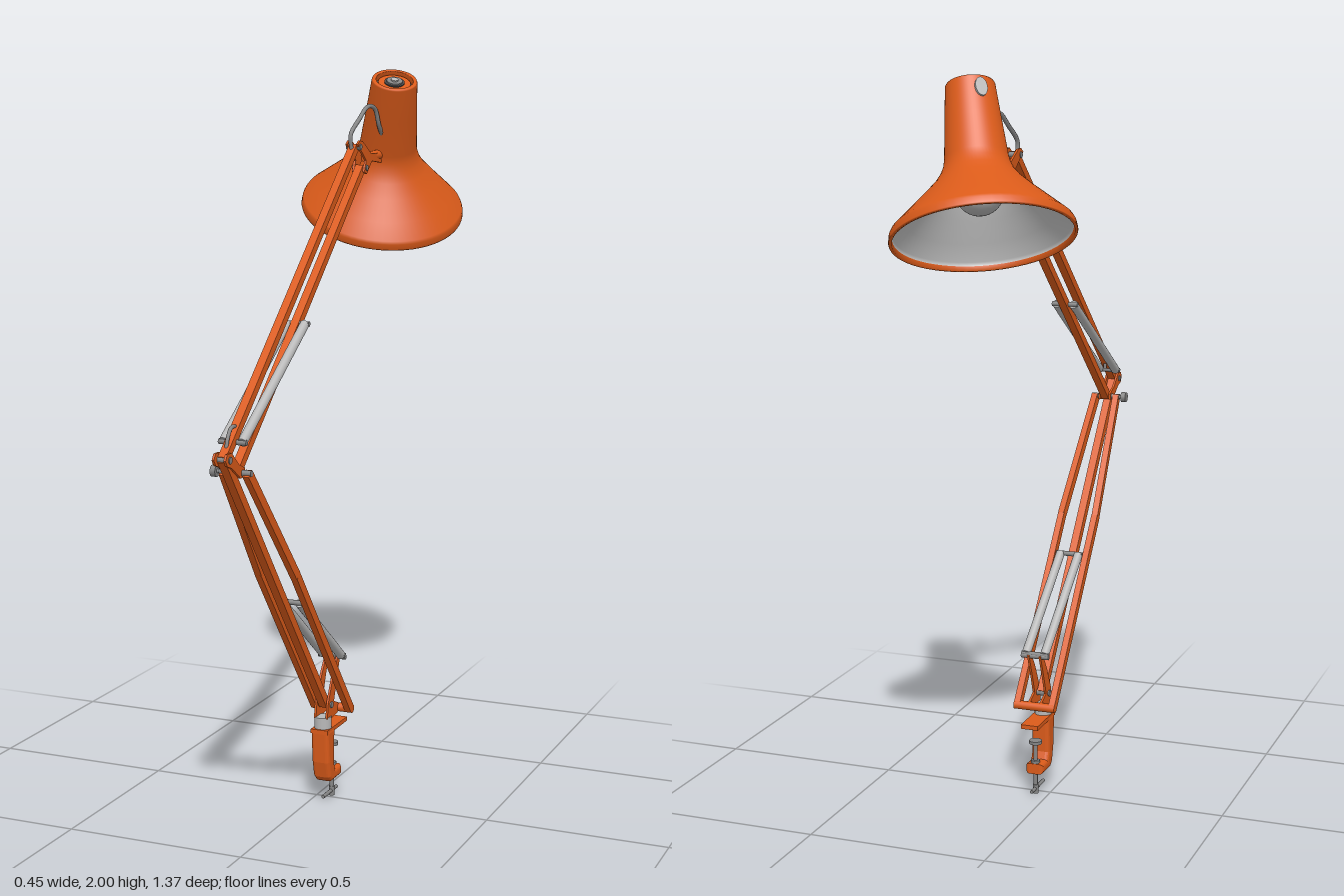
import * as THREE from 'three';

const mat = (name, color) => {
  const m = new THREE.MeshStandardMaterial({ color });
  m.name = name;
  return m;
};
const V = (x, y, z) => new THREE.Vector3(x, y, z);
const CX = 0.038; // x of the arm's middle plane

export function createModel() {
  const root = new THREE.Group();
  root.name = 'deskLamp';
  const orange = mat('orangePaint', 0xdb5b1a);
  const steel = mat('steel', 0xb8b8b8);
  const fittings = mat('fittingGrey', 0x858585);
  const dark = mat('darkMetal', 0x4a4a4c);
  const liner = mat('shadeLining', 0xc6c6c6);
  const glass = mat('bulbGlass', 0xb2b2b2);

  const add = (name, geo, material, parent = root) => {
    const m = new THREE.Mesh(geo, material);
    m.name = name;
    parent.add(m);
    return m;
  };
  // rectangular bar between two points, w across x and d across the arm
  const bar = (name, a, b, w, d) => {
    const m = add(name, new THREE.BoxGeometry(w, d, a.distanceTo(b)), orange);
    m.position.copy(a).lerp(b, 0.5);
    m.lookAt(b);
  };
  // round rod between two points
  const rod = (name, a, b, r, material = fittings, sides = 16) => {
    const m = add(name, new THREE.CylinderGeometry(r, r, a.distanceTo(b), sides), material);
    m.position.copy(a).lerp(b, 0.5);
    m.quaternion.setFromUnitVectors(V(0, 1, 0), b.clone().sub(a).normalize());
  };
  // pin lying along x
  const pin = (name, y, z, half, r, material = fittings) =>
    rod(name, V(CX - half, y, z), V(CX + half, y, z), r, material);
  // flat plate from a [z, y] outline, standing in the arm's plane
  const plate = (name, pts, x, t, bevel = 0) => {
    const s = new THREE.Shape(pts.map(([z, y]) => new THREE.Vector2(z, y)));
    const g = new THREE.ExtrudeGeometry(s, {
      depth: t, bevelEnabled: bevel > 0, bevelSize: bevel, bevelThickness: bevel, bevelOffset: -bevel, bevelSegments: 4,
    });
    g.translate(0, 0, -t / 2);
    g.rotateY(-Math.PI / 2);
    add(name, g, orange).position.x = x;
  };
  const wire = (name, pts, r) =>
    add(name, new THREE.TubeGeometry(new THREE.CatmullRomCurve3(pts), 32, r, 8), fittings);

  // ---- clamp ----
  plate('clampBody', [[0.073, 0.215], [0.066, 0.12], [0.055, 0.075], [0.04, 0.06], [-0.03, 0.06],
    [-0.03, 0.09], [0.012, 0.09], [0.02, 0.11], [0.018, 0.215]], CX, 0.03, 0.011);
  const jaw = add('clampJaw', new THREE.BoxGeometry(0.05, 0.012, 0.14), orange);
  jaw.position.set(CX, 0.21, 0.003);
  rod('clampScrew', V(CX, 0.006, -0.017), V(CX, 0.15, -0.017), 0.006);
  rod('screwPad', V(CX, 0.147, -0.017), V(CX, 0.156, -0.017), 0.018);
  rod('screwNut', V(CX, 0.088, -0.017), V(CX, 0.098, -0.017), 0.013, fittings, 6);
  rod('screwHandle', V(CX, 0.014, -0.05), V(CX, 0.014, 0.045), 0.005);
  rod('screwHead', V(CX, 0, -0.017), V(CX, 0.026, -0.017), 0.008);
  rod('swivelCollar', V(CX, 0.215, 0.045), V(CX, 0.248, 0.045), 0.024, steel, 24);

  // ---- base bracket ----
  for (const s of [-1, 1]) {
    plate('baseBracket', [[-0.03, 0.405], [-0.015, 0.41], [0.02, 0.36], [0.055, 0.29], [0.062, 0.245],
      [0.03, 0.24], [-0.03, 0.248], [-0.03, 0.265], [0.015, 0.285], [-0.008, 0.35]], CX + s * 0.017, 0.006);
  }
  pin('bracketTopPin', 0.403, -0.02, 0.04, 0.007);
  pin('basePivot', 0.28, 0.036, 0.024, 0.009);
  pin('frameCrossbar', 0.257, -0.022, 0.06, 0.012, orange);

  // ---- lower arm: one centre bar and a bent pair ----
  bar('lowerCentreBar', V(CX, 0.28, 0.036), V(CX, 1.075, 0.66), 0.022, 0.024);
  const foot = V(0, 0.255, -0.022), head = V(0, 1.03, 0.592);
  const bend = foot.clone().lerp(head, 0.6);
  for (const s of [-1, 1]) {
    const at = (p, off) => V(CX + s * off, p.y, p.z);
    bar('lowerSideBar', at(foot, 0.051), at(bend, 0.051), 0.018, 0.024);
    bar('lowerSideBarTaper', at(bend, 0.051), at(head, 0.032), 0.018, 0.024);
  }

  // ---- elbow ----
  for (const s of [-1, 1]) {
    plate('elbowPlate', [[0.675, 1.06], [0.685, 1.075], [0.675, 1.09], [0.65, 1.09], [0.61, 1.055],
      [0.575, 1.04], [0.578, 1.022], [0.6, 1.018], [0.65, 1.052]], CX + s * 0.0155, 0.006);
  }
  pin('elbowPin', 1.073, 0.66, 0.021, 0.009);
  pin('elbowLowerPin', 1.03, 0.59, 0.043, 0.008);
  rod('elbowKnob', V(-0.026, 1.03, 0.59), V(-0.012, 1.03, 0.59), 0.015);
  rod('elbowKnobStem', V(-0.013, 1.03, 0.59), V(0, 1.03, 0.59), 0.005);

  // ---- upper arm ----
  bar('upperTopBar', V(CX, 1.073, 0.66), V(CX, 1.793, -0.168), 0.022, 0.022);
  bar('upperBottomBar', V(CX, 1.03, 0.592), V(CX, 1.735, -0.215), 0.022, 0.022);

  // ---- spring pairs ----
  const springs = (name, a, b, off, r) => {
    for (const s of [-1, 1]) {
      rod(name, V(CX + s * off, a[0], a[1]), V(CX + s * off, b[0], b[1]), r, steel);
    }
    for (const [y, z] of [a, b]) pin(name + 'Pin', y, z, off + r, 0.007);
  };
  springs('upperSpring', [1.108, 0.605], [1.355, 0.225], 0.025, 0.0125);
  springs('lowerSpring', [0.625, 0.265], [0.408, -0.018], 0.027, 0.0125);

  // ---- head bracket ----
  for (const s of [-1, 1]) {
    plate('headBracket', [[-0.15, 1.8], [-0.165, 1.81], [-0.185, 1.808], [-0.25, 1.772], [-0.325, 1.772],
      [-0.325, 1.745], [-0.255, 1.752], [-0.215, 1.718], [-0.198, 1.725], [-0.212, 1.755]], CX + s * 0.0155, 0.006);
  }
  pin('headTopPin', 1.793, -0.168, 0.021, 0.008);
  pin('headLowerPin', 1.735, -0.214, 0.021, 0.008);
  rod('headSwivel', V(CX, 1.762, -0.25), V(0.05, 1.768, -0.345), 0.014, orange);

  // ---- cable loops ----
  wire('headCable', [V(CX, 1.785, -0.15), V(0.036, 1.825, -0.148), V(0.045, 1.865, -0.185), V(0.055, 1.9, -0.225),
    V(0.062, 1.895, -0.258), V(0.065, 1.85, -0.282), V(0.064, 1.81, -0.32)], 0.006);
  wire('elbowCable', [V(CX, 1.08, 0.645), V(CX, 1.12, 0.635), V(CX, 1.145, 0.612), V(CX, 1.14, 0.585),
    V(CX, 1.115, 0.58)], 0.005);

  // ---- shade, built upright with the rim at its origin ----
  const shade = new THREE.Group();
  shade.name = 'shade';
  shade.position.set(0, 1.61, -0.476);
  shade.quaternion.setFromUnitVectors(V(0, 1, 0), V(0.24, 0.887, 0.393).normalize());
  root.add(shade);
  const lathe = (name, pts, material) =>
    add(name, new THREE.LatheGeometry(pts.map(([r, y]) => new THREE.Vector2(r, y)), 64), material, shade);
  lathe('shadeShell', [[0.222, 0.012], [0.224, 0], [0.231, 0], [0.232, 0.003], [0.23, 0.018], [0.226, 0.026],
    [0.19, 0.062], [0.145, 0.107], [0.112, 0.142], [0.094, 0.167], [0.084, 0.19], [0.08, 0.21], [0.071, 0.31],
    [0.063, 0.404], [0.061, 0.408], [0.052, 0.408], [0.051, 0.406], [0.051, 0.385]], orange);
  lathe('shadeLining', [[0.001, 0.3], [0.068, 0.3], [0.074, 0.21], [0.079, 0.188], [0.089, 0.163], [0.107, 0.137],
    [0.14, 0.102], [0.185, 0.057], [0.221, 0.022], [0.222, 0.012]], liner);

  // vent rings in the open top
  const disc = (name, r, y, h, material) => {
    add(name, new THREE.CylinderGeometry(r, r, h, 32), material, shade).position.y = y;
  };
  disc('ventFloor', 0.052, 0.385, 0.01, dark);
  disc('ventRing', 0.045, 0.392, 0.014, orange);
  disc('ventGroove', 0.028, 0.398, 0.008, dark);
  disc('socketCap', 0.022, 0.4, 0.012, fittings);
  disc('socketCentre', 0.01, 0.404, 0.012, steel);

  // bulb and its socket
  add('bulb', new THREE.SphereGeometry(0.062, 32, 20), glass, shade).position.y = 0.125;
  const neck = add('bulbNeck', new THREE.CylinderGeometry(0.028, 0.045, 0.09, 24), glass, shade);
  neck.position.y = 0.205;
  disc('bulbSocket', 0.03, 0.27, 0.06, dark);

  // oval switch plate on the back of the neck
  const switchMount = new THREE.Group();
  switchMount.name = 'switchMount';
  switchMount.position.y = 0.373;
  switchMount.rotation.y = Math.PI * 1.25;
  shade.add(switchMount);
  const rocker = add('switch', new THREE.CylinderGeometry(0.016, 0.016, 0.009, 24), steel, switchMount);
  rocker.scale.z = 1.6;
  rocker.rotation.x = Math.PI / 2 - 0.09;
  rocker.position.z = 0.066;

  return root;
}
